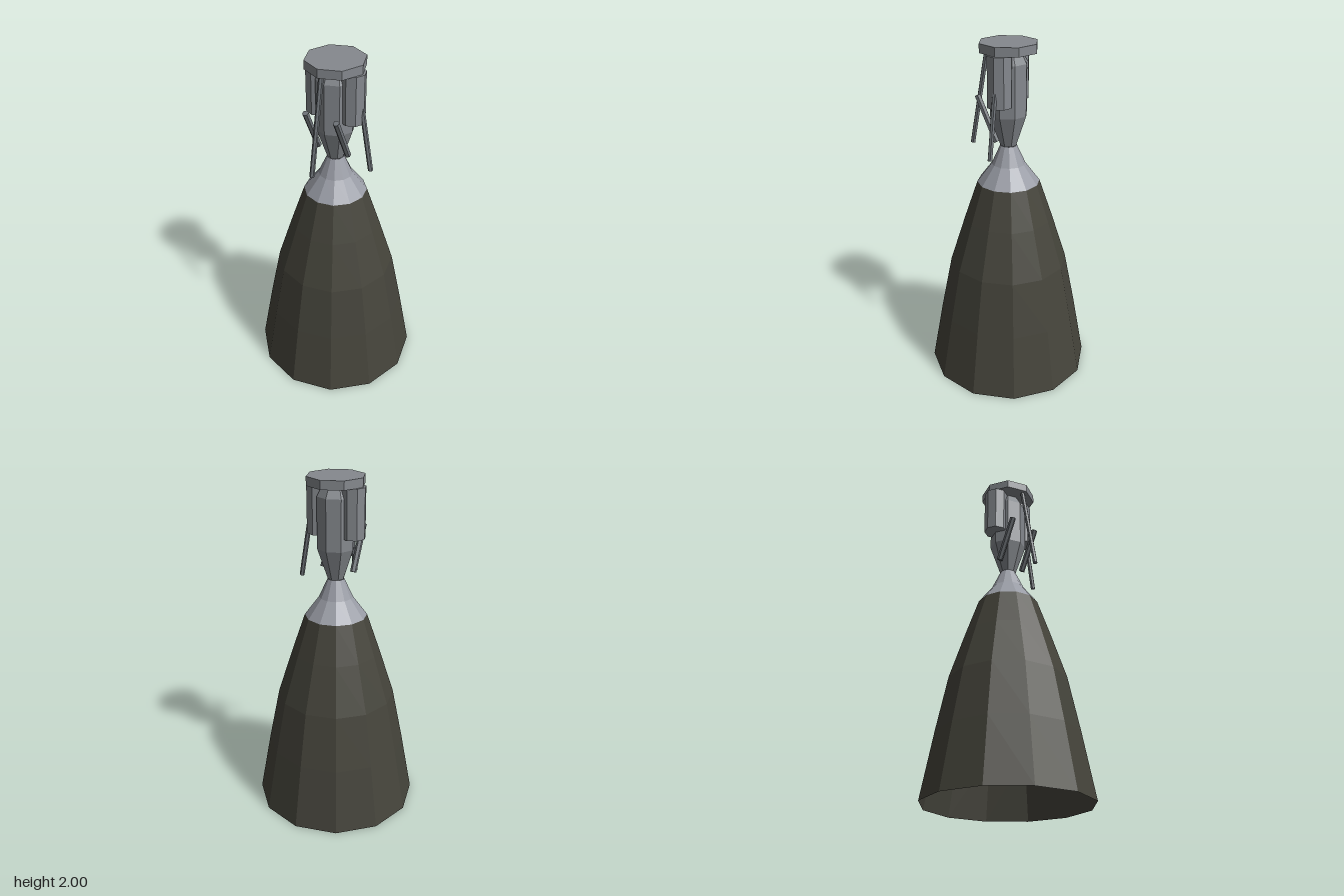
import * as THREE from 'three';

const material = (name, color, side = THREE.FrontSide) => {
  const m = new THREE.MeshStandardMaterial({ color, side, flatShading: true });
  m.name = name;
  return m;
};

export function createModel() {
  const group = new THREE.Group();
  const darkMetal = material('dark nozzle metal', 0x45443b, THREE.DoubleSide);
  const lightMetal = material('light throat metal', 0x999ca5, THREE.DoubleSide);
  const grey = material('engine grey', 0x85898e);
  const rodGrey = material('rod grey', 0x70757a);

  const add = (name, geometry, mat) => {
    const mesh = new THREE.Mesh(geometry, mat);
    mesh.name = name;
    group.add(mesh);
    return mesh;
  };
  // Faceted body turned from [radius, height] pairs, bottom to top
  const turned = (name, profile, sides, mat) =>
    add(name, new THREE.LatheGeometry(profile.map(p => new THREE.Vector2(...p)), sides), mat);
  // Straight rod between two points
  const rod = (name, from, to, radius) => {
    const a = new THREE.Vector3(...from), b = new THREE.Vector3(...to);
    const dir = b.clone().sub(a);
    const mesh = add(name, new THREE.CylinderGeometry(radius, radius, dir.length(), 6), rodGrey);
    mesh.position.copy(a).add(b).multiplyScalar(0.5);
    mesh.quaternion.setFromUnitVectors(new THREE.Vector3(0, 1, 0), dir.normalize());
  };

  // Open bell and the throat above it
  turned('nozzleBell', [[0.48, 0], [0.41, 0.38], [0.345, 0.7], [0.255, 0.98], [0.18, 1.2]], 12, darkMetal);
  turned('throatCone', [[0.18, 1.2], [0.097, 1.31], [0.047, 1.42]], 12, lightMetal);

  // Combustion chamber and mounting plate
  turned('combustionChamber',
    [[0, 1.42], [0.047, 1.42], [0.108, 1.6], [0.108, 1.89], [0.075, 1.95], [0, 1.95]], 8, grey);
  add('mountingPlate', new THREE.CylinderGeometry(0.165, 0.165, 0.05, 8), grey).position.y = 1.975;

  // Pumps and slanted feed pipes on both sides
  for (const s of [-1, 1]) {
    const side = s > 0 ? 'left' : 'right';
    add(side + 'Pump', new THREE.CylinderGeometry(0.07, 0.07, 0.28, 8), grey).position.set(s * 0.108, 1.81, 0);
    rod(side + 'FeedPipe', [s * 0.097, 1.465, 0.025], [s * 0.097, 1.715, 0.14], 0.018);
  }

  // Steering struts, one in front and one on the left
  rod('frontStrut', [0, 1.4, 0.228], [0, 1.95, 0.13], 0.014);
  rod('leftStrut', [0.228, 1.4, 0], [0.13, 1.95, 0], 0.014);

  return group;
}
